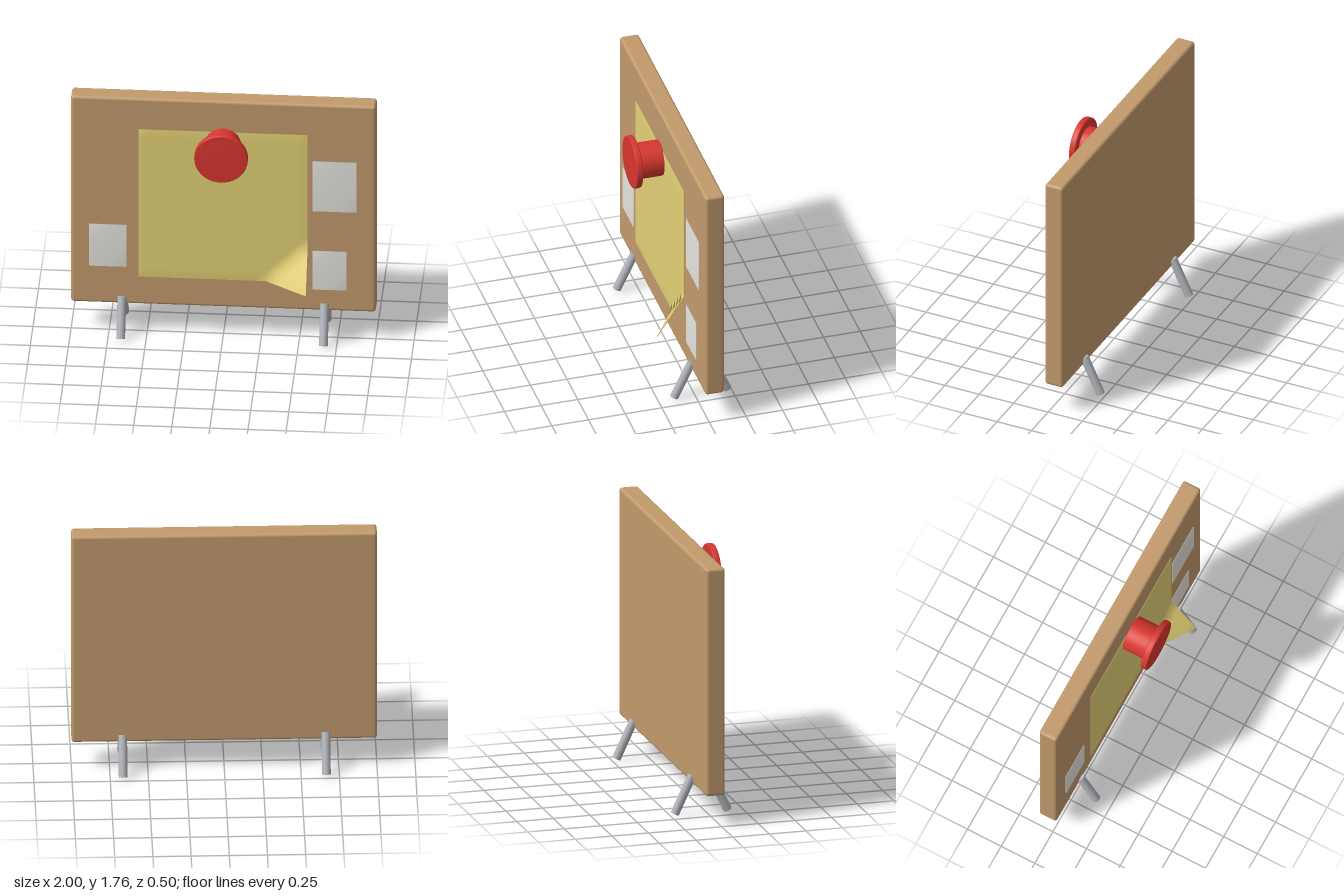
import * as THREE from 'three';
import { mergeVertices } from 'three/addons/utils/BufferGeometryUtils.js';
import { RoundedBoxGeometry } from 'three/addons/geometries/RoundedBoxGeometry.js';

function material(name, color) {
  const m = new THREE.MeshStandardMaterial({ color });
  m.name = name;
  return m;
}

// Weld all corners so that shading rolls softly over the edges
function soften(geometry) {
  geometry.deleteAttribute('normal');
  geometry.deleteAttribute('uv');
  const welded = mergeVertices(geometry, 1e-5);
  welded.computeVertexNormals();
  return welded;
}

export function createModel() {
  const model = new THREE.Group();
  model.name = 'pinboard';
  const cork = material('cork brown', 0xc29a6c);
  const yellow = material('note yellow', 0xe3d175);
  const red = material('pin red', 0xd8362f);
  const white = material('paper white', 0xe6e4de);
  const metal = material('leg grey', 0xb0b4b9);

  const add = (name, geometry, mat, x, y, z) => {
    const mesh = new THREE.Mesh(geometry, mat);
    mesh.name = name;
    mesh.position.set(x, y, z);
    model.add(mesh);
    return mesh;
  };

  // Board with softly rounded edges
  add('board', new RoundedBoxGeometry(2, 1.55, 0.13, 3, 0.02), cork, 0, 0.995, -0.04);

  // Large note, its lower left corner folded forward
  const size = 1.11, fold = 0.2775, lift = 0.182;
  const note = new THREE.BoxGeometry(size, size, 0.006, 16, 16, 1);
  const p = note.attributes.position;
  for (let i = 0; i < p.count; i++) {
    const u = (p.getX(i) - size / 2) / fold + 1;
    const v = (-p.getY(i) - size / 2) / fold + 1;
    p.setZ(i, p.getZ(i) + lift * Math.max(0, u + v - 1));
  }
  add('note', soften(note), yellow, 0, 0.995, 0.042);

  // Small paper cards: left, right, bottom, top
  [[-0.88, -0.635, 0.505, 0.82], [0.585, 0.875, 0.975, 1.35], [0.585, 0.81, 0.385, 0.675]]
    .forEach(([x0, x1, y0, y1], i) => {
      const card = soften(new THREE.BoxGeometry(x1 - x0, y1 - y0, 0.006, 2, 2, 1));
      add('card' + (i + 1), card, white, (x0 + x1) / 2, (y0 + y1) / 2, 0.034);
    });

  // Push pin: shaft and wide head, turned towards the front
  const turned = (r, h, b) => {
    const points = [[0, 0], [r - b, 0], [r - b * 0.3, b * 0.3], [r, b],
      [r, h - b], [r - b * 0.3, h - b * 0.3], [r - b, h], [0, h]];
    const g = new THREE.LatheGeometry(points.map(([x, y]) => new THREE.Vector2(x, y)), 40);
    return g.rotateX(Math.PI / 2);
  };
  add('pinShaft', turned(0.12, 0.17, 0.008), red, 0, 1.46, 0.04);
  add('pinHead', turned(0.176, 0.044, 0.008), red, 0, 1.46, 0.205);

  // Four splayed legs, mirrored about the middle of the board
  const legGeometry = new THREE.CylinderGeometry(0.029, 0.029, 0.28, 20);
  for (const x of [-0.665, 0.665]) {
    for (const s of [1, -1]) {
      const leg = add(s > 0 ? 'frontLeg' : 'backLeg', legGeometry, metal, x, 0.148, -0.04 + s * 0.121);
      leg.rotation.x = -s * 0.44;
    }
  }
  return model;
}
